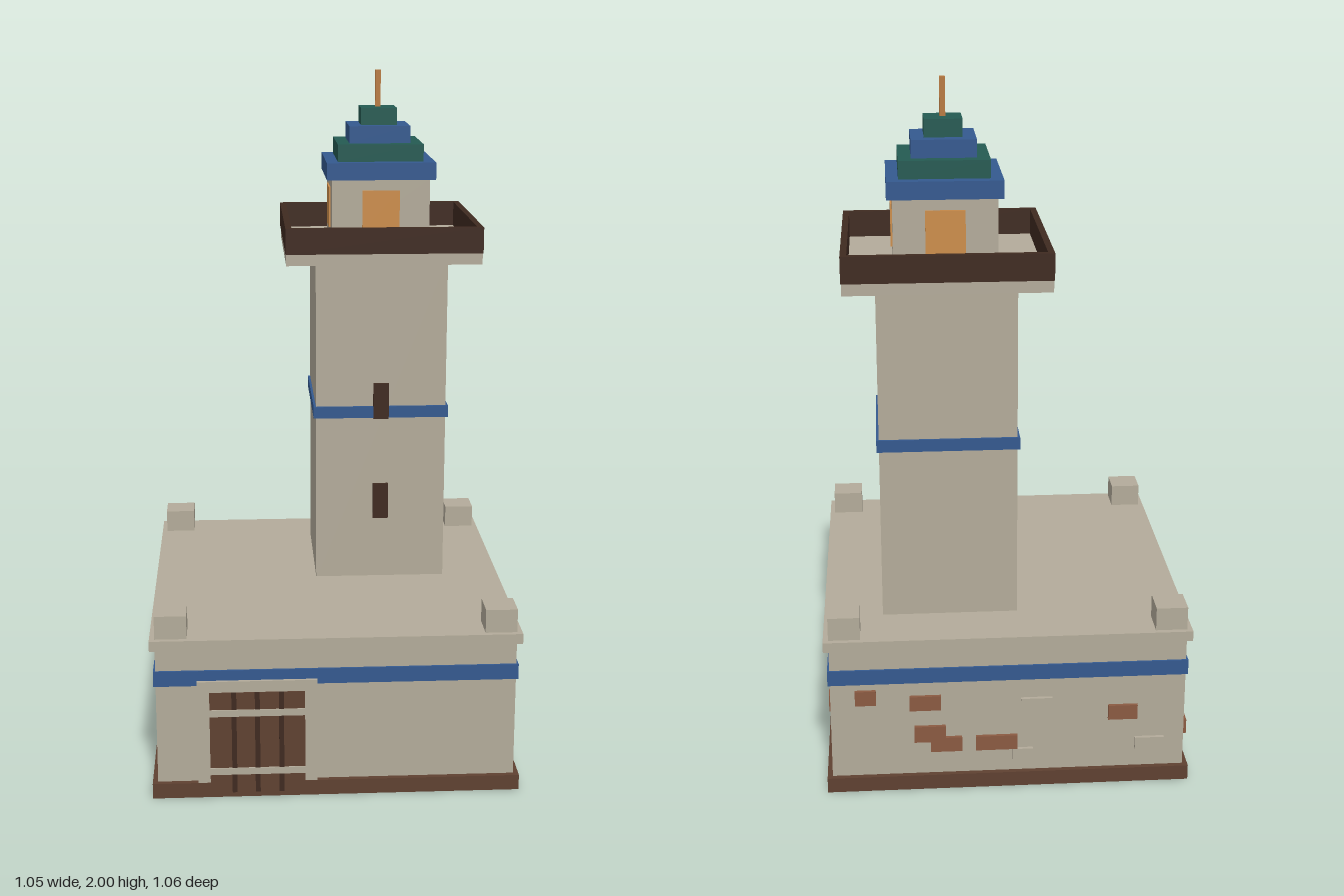
import * as THREE from 'three';

const mat = (name, color) => {
  const m = new THREE.MeshStandardMaterial({ color });
  m.name = name;
  return m;
};

export function createModel() {
  const stone = mat('stone', 0xb3ab9a);
  const blue = mat('blue tile', 0x34598f);
  const green = mat('green tile', 0x245a52);
  const darkWood = mat('dark wood', 0x3f2a20);
  const wood = mat('brown wood', 0x5f4131);
  const brick = mat('brick', 0x8a5a42);
  const glow = mat('amber window', 0xcc8d4b);
  const copper = mat('copper', 0xb87a40);

  const model = new THREE.Group();
  model.name = 'lighthouse';
  const base = new THREE.Group();
  base.name = 'base';
  base.position.z = -0.004;
  const tower = new THREE.Group();
  tower.name = 'tower';
  tower.position.set(0.16, 0, -0.165);
  model.add(base, tower);

  // Box given by its x, y and z ranges
  const box = (parent, name, m, x0, x1, y0, y1, z0, z1) => {
    const mesh = new THREE.Mesh(new THREE.BoxGeometry(x1 - x0, y1 - y0, z1 - z0), m);
    mesh.position.set((x0 + x1) / 2, (y0 + y1) / 2, (z0 + z1) / 2);
    mesh.name = name;
    parent.add(mesh);
    return mesh;
  };
  // Square block centred on its parent's axis
  const block = (parent, name, m, half, y0, y1) =>
    box(parent, name, m, -half, half, y0, y1, -half, half);

  // Base building
  block(base, 'plinth', wood, 0.525, 0, 0.045);
  block(base, 'baseWalls', stone, 0.51, 0.02, 0.46);
  block(base, 'baseBand', blue, 0.516, 0.34, 0.385);
  block(base, 'coping', stone, 0.525, 0.45, 0.48);
  for (const sx of [-1, 1]) for (const sz of [-1, 1]) {
    const post = box(base, 'cornerBlock', stone, -0.045, 0.045, 0.48, 0.548, -0.045, 0.045);
    post.position.x = sx * 0.465;
    post.position.z = sz * 0.465;
  }

  // Gate with frame, plank gaps and crossbars
  const gate = new THREE.Group();
  gate.name = 'gate';
  gate.position.set(-0.225, 0, 0.5);
  model.add(gate);
  for (const s of [-1, 1])
    box(gate, 'gatePost', stone, s * 0.1525 - 0.0175, s * 0.1525 + 0.0175, 0, 0.355, 0, 0.0205);
  box(gate, 'gateLintel', stone, -0.17, 0.17, 0.322, 0.355, 0, 0.0205);
  box(gate, 'gateSill', stone, -0.135, 0.135, 0, 0.012, 0, 0.0205);
  box(gate, 'gateDoor', wood, -0.135, 0.135, 0.012, 0.322, 0, 0.022);
  for (const x of [-0.066, 0, 0.068])
    box(gate, 'plankGap', darkWood, x - 0.007, x + 0.007, 0.015, 0.322, 0.015, 0.0245);
  for (const y of [0.26, 0.081])
    box(gate, 'crossbar', stone, -0.135, 0.135, y - 0.01, y + 0.01, 0.015, 0.026);

  // Exposed bricks: along-wall centre, height, width, thickness, material
  const walls = {
    right: [
      [0.136, 0.239, 0.118, 0.05, brick], [0.183, 0.206, 0.055, 0.043, brick],
      [-0.328, 0.194, 0.055, 0.052, brick], [0.213, 0.113, 0.114, 0.036, stone],
    ],
    left: [
      [-0.455, 0.16, 0.09, 0.045, brick], [-0.31, 0.122, 0.11, 0.045, brick],
      [-0.025, 0.147, 0.07, 0.05, brick], [0.05, 0.16, 0.07, 0.045, stone],
      [0.32, 0.32, 0.12, 0.05, brick],
    ],
    back: [
      [0.41, 0.297, 0.06, 0.045, brick], [0.24, 0.275, 0.09, 0.045, brick],
      [0.227, 0.175, 0.09, 0.05, brick], [0.18, 0.14, 0.09, 0.045, brick],
      [0.035, 0.14, 0.12, 0.045, brick], [-0.08, 0.26, 0.09, 0.04, stone],
      [-0.04, 0.1, 0.06, 0.035, stone], [-0.33, 0.225, 0.085, 0.045, brick],
      [-0.41, 0.12, 0.085, 0.04, stone],
    ],
  };
  for (const [side, list] of Object.entries(walls)) {
    for (const [a, y, w, h, m] of list) {
      const args = [y - h / 2, y + h / 2];
      if (side === 'back') box(base, 'backBrick', m, a - w / 2, a + w / 2, ...args, -0.52, -0.5);
      else {
        const s = side === 'right' ? 0.51 : -0.51;
        box(base, side + 'Brick', m, s - 0.01, s + 0.01, ...args, a - w / 2, a + w / 2);
      }
    }
  }

  // Tower shaft, band and window slits
  block(tower, 'shaft', stone, 0.195, 0.47, 1.47);
  block(tower, 'shaftBand', blue, 0.202, 0.985, 1.02);
  for (const y of [0.67, 0.983])
    box(tower, 'windowSlit', darkWood, -0.023, 0.023, y, y + 0.108, 0.18, 0.209);

  // Gallery with railing
  block(tower, 'gallerySlab', stone, 0.284, 1.462, 1.495);
  for (const s of [-1, 1]) {
    const a = Math.min(s * 0.286, s * 0.268);
    box(tower, 'galleryRail', darkWood, -0.286, 0.286, 1.495, 1.57, a, a + 0.018);
    box(tower, 'galleryRail', darkWood, a, a + 0.018, 1.495, 1.57, -0.268, 0.268);
  }

  // Lantern room with a lit window on each side
  block(tower, 'lanternRoom', stone, 0.144, 1.49, 1.692);
  for (let i = 0; i < 4; i++) {
    const side = new THREE.Group();
    side.name = 'lanternWindow';
    side.rotation.y = i * Math.PI / 2;
    tower.add(side);
    box(side, 'windowPane', glow, -0.055, 0.055, 1.54, 1.66, 0.142, 0.149);
  }

  // Stepped roof and finial
  [0.16, 0.126, 0.09, 0.053].forEach((half, i) =>
    block(tower, 'roofTier', i % 2 ? green : blue, half, 1.692 + i * 0.05, 1.742 + i * 0.05));
  block(tower, 'finial', copper, 0.008, 1.89, 2);

  return model;
}
